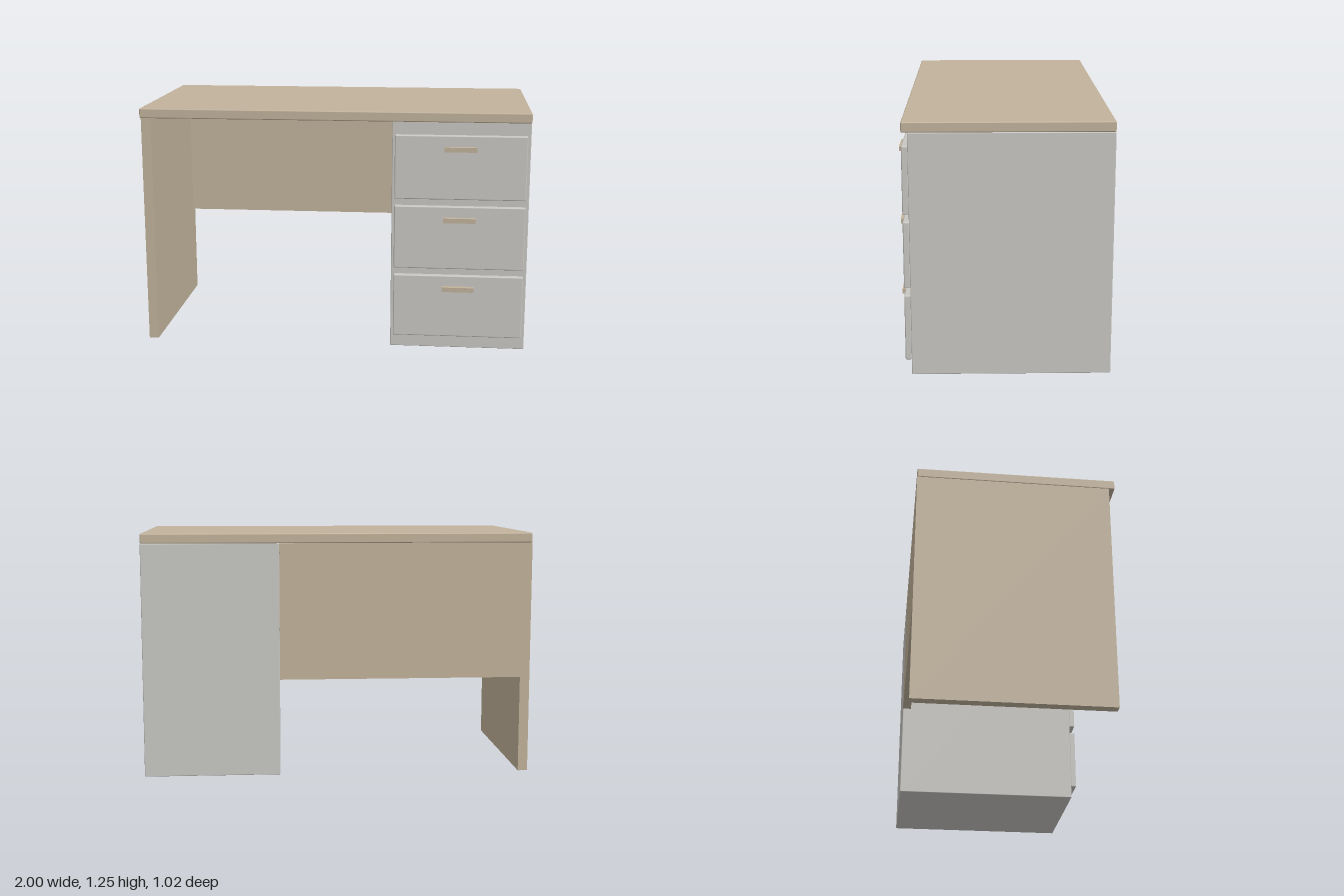
import * as THREE from 'three';
import { RoundedBoxGeometry } from 'three/addons/geometries/RoundedBoxGeometry.js';

export function createModel() {
  const desk = new THREE.Group();
  desk.name = 'desk';

  const wood = new THREE.MeshStandardMaterial({ color: 0xc1b29b });
  wood.name = 'lightWood';
  const grey = new THREE.MeshStandardMaterial({ color: 0xc8c7c3 });
  grey.name = 'paleGrey';

  // Box between two corners, with softened edges when a radius is given
  function addBox(parent, name, material, [x0, y0, z0], [x1, y1, z1], radius = 0) {
    const size = [x1 - x0, y1 - y0, z1 - z0];
    const geometry = radius
      ? new RoundedBoxGeometry(...size, 2, radius)
      : new THREE.BoxGeometry(...size);
    const mesh = new THREE.Mesh(geometry, material);
    mesh.name = name;
    mesh.position.set((x0 + x1) / 2, (y0 + y1) / 2, (z0 + z1) / 2);
    parent.add(mesh);
  }

  // Worktop, side panel and back panel
  addBox(desk, 'worktop', wood, [-1, 1.2, -0.51], [1, 1.25, 0.487], 0.006);
  addBox(desk, 'sidePanel', wood, [-1, 0, -0.51], [-0.95, 1.2, 0.457]);
  addBox(desk, 'backPanel', wood, [-0.95, 0.5, -0.51], [0.3, 1.2, -0.465]);

  // Drawer cabinet
  addBox(desk, 'cabinet', grey, [0.3, 0, -0.51], [1, 1.2, 0.457], 0.004);

  // Three drawers, each with a bar handle
  for (let i = 0; i < 3; i++) {
    const y = 0.07 + i * 0.3665;
    const drawer = new THREE.Group();
    drawer.name = `drawer${i + 1}`;
    addBox(drawer, 'drawerFront', grey, [0.315, y, 0.456], [0.983, y + 0.33, 0.488], 0.006);
    addBox(drawer, 'handle', wood, [0.565, y + 0.25, 0.486], [0.73, y + 0.274, 0.514]);
    desk.add(drawer);
  }

  return desk;
}
